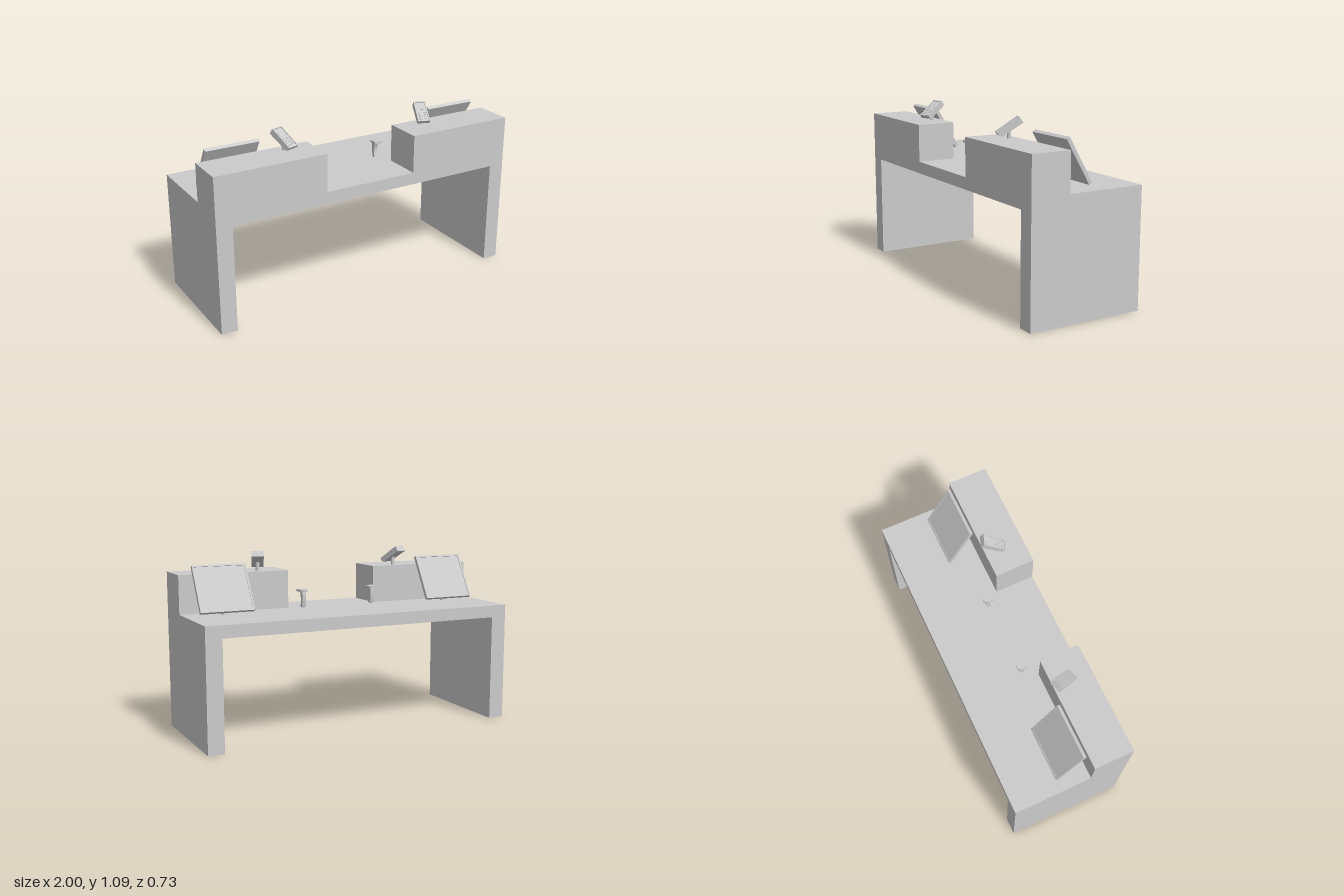
import * as THREE from 'three';

const grey = new THREE.MeshStandardMaterial({ color: 0xcccccc, flatShading: true });
const rad = THREE.MathUtils.degToRad;

function add(parent, name, geometry, x = 0, y = 0, z = 0) {
  const mesh = new THREE.Mesh(geometry, grey);
  mesh.name = name;
  mesh.position.set(x, y, z);
  parent.add(mesh);
  return mesh;
}

const polygon = pts => new THREE.Shape(pts.map(p => new THREE.Vector2(...p)));
const extrude = (shape, depth) =>
  new THREE.ExtrudeGeometry(shape, { depth, bevelEnabled: false, curveSegments: 10 });

// Outline in (z, y), extruded along x and centred
const sideExtrude = (shape, width) =>
  extrude(shape, width).translate(0, 0, -width / 2).rotateY(-Math.PI / 2);

// Outline in (x, z), lying flat with its top at y = 0
const flatExtrude = (shape, thickness) => extrude(shape, thickness).rotateX(Math.PI / 2);

const rect = (w, d) => [[-w / 2, -d / 2], [w / 2, -d / 2], [w / 2, d / 2], [-w / 2, d / 2]];

// Raised rim around a recessed face
function rim(w, d, border, height) {
  const shape = polygon(rect(w, d));
  shape.holes.push(polygon(rect(w - 2 * border, d - 2 * border)));
  return flatExtrude(shape, height);
}

// Tilted screen on a post, facing the back
function makeMonitor(side) {
  const group = new THREE.Group();
  group.name = 'monitor';
  group.position.x = 0.762 * side;
  add(group, 'monitorPost', new THREE.CylinderGeometry(0.0115, 0.0115, 0.14, 16), 0, 0.805, 0.016);
  const panel = new THREE.Group();
  panel.name = 'monitorPanel';
  panel.position.set(0, 0.891, 0.012);
  panel.rotation.x = rad(-59.5);
  add(panel, 'screen', new THREE.BoxGeometry(0.335, 0.019, 0.305), 0, -0.002, 0);
  add(panel, 'screenRim', rim(0.335, 0.305, 0.011, 0.004), 0, 0.0115, 0);
  group.add(panel);
  return group;
}

// Keypad terminal turned towards the middle of the counter, facing the front
function makeTerminal(side) {
  const group = new THREE.Group();
  group.name = 'cardTerminal';
  group.position.set(0.478 * side, 1.035, 0.18);
  group.rotation.y = rad(-20) * side;
  add(group, 'terminalPost', new THREE.CylinderGeometry(0.012, 0.012, 0.06, 16), 0, -0.035, 0);
  const body = new THREE.Group();
  body.name = 'terminalBody';
  body.rotation.x = rad(34);
  const profile = polygon([[-0.078, 0.014], [-0.078, -0.02], [0.062, -0.014],
    [0.073, -0.01], [0.078, 0], [0.078, 0.014]]);
  add(body, 'terminalShell', sideExtrude(profile, 0.075));
  add(body, 'terminalRim', rim(0.075, 0.156, 0.007, 0.005), 0, 0.019, 0);
  add(body, 'terminalScreen', new THREE.BoxGeometry(0.05, 0.002, 0.05), 0, 0.0145, -0.038);
  for (let row = 0; row < 4; row++) {
    for (let col = -1; col <= 1; col++) {
      add(body, 'key', new THREE.BoxGeometry(0.011, 0.003, 0.009), col * 0.017, 0.015, 0.008 + row * 0.016);
    }
  }
  group.add(body);
  return group;
}

// Hand scanner standing on its curved grip
function makeScanner(side) {
  const group = new THREE.Group();
  group.name = 'handScanner';
  group.position.x = 0.238 * side;
  const head = new THREE.Shape();
  head.moveTo(0.026, 0.07);
  head.lineTo(-0.026, 0.07);
  head.lineTo(-0.026, 0.026);
  head.absarc(0, 0.026, 0.026, Math.PI, 2 * Math.PI, false);
  head.lineTo(0.026, 0.07);
  add(group, 'scannerHead', flatExtrude(head, 0.014), 0, 0.856, 0);
  const grip = new THREE.Shape();
  grip.moveTo(0.018, 0.844);
  grip.quadraticCurveTo(0.01, 0.79, 0.024, 0.745);
  grip.lineTo(0.047, 0.748);
  grip.quadraticCurveTo(0.026, 0.79, 0.052, 0.844);
  add(group, 'scannerGrip', sideExtrude(grip, 0.024));
  return group;
}

export function createModel() {
  const model = new THREE.Group();
  model.name = 'serviceCounter';

  // Desk: worktop and two full-depth legs in one arch
  const arch = polygon([[-1, 0], [-0.9, 0], [-0.9, 0.66], [0.9, 0.66], [0.9, 0],
    [1, 0], [1, 0.735], [-1, 0.735]]);
  add(model, 'desk', extrude(arch, 0.732).translate(0, 0, -0.366));

  for (const side of [-1, 1]) {
    // Raised front ledge
    add(model, 'raisedLedge', new THREE.BoxGeometry(0.7, 0.235, 0.246), 0.65 * side, 0.8525, 0.243);
    model.add(makeMonitor(side), makeTerminal(side), makeScanner(side));
  }
  return model;
}
